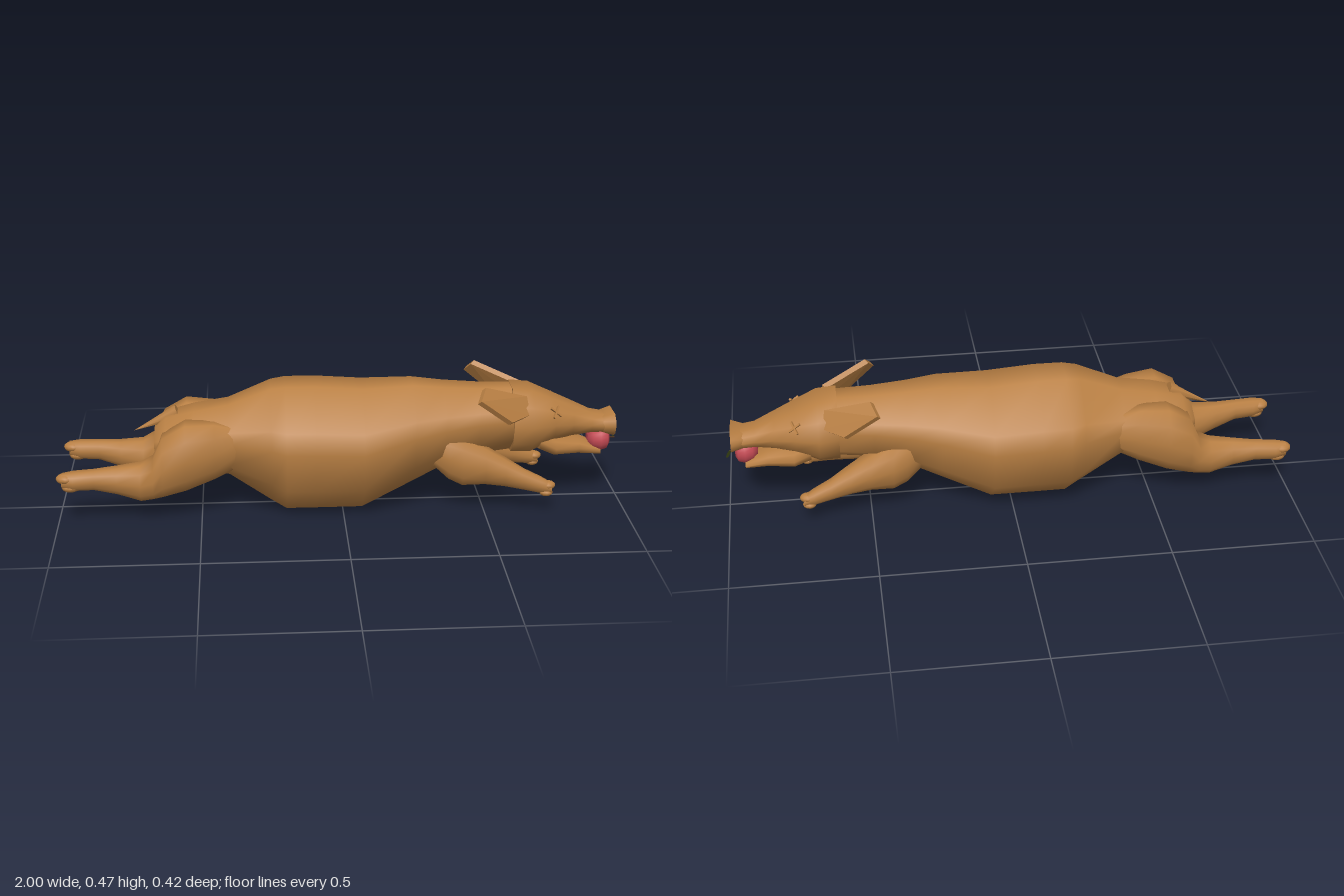
import * as THREE from 'three';
import { ConvexGeometry } from 'three/addons/geometries/ConvexGeometry.js';

const mat = (name, color, side = THREE.FrontSide) => {
  const m = new THREE.MeshStandardMaterial({ color, side });
  m.name = name;
  return m;
};

// Half outlines of a cross-section: [share of half width, share of height], top to bottom
const BARREL = [[0.3, 1], [0.96, 0.73], [1, 0.56], [0.96, 0.26], [0.3, 0]];
const ROUND = [[0.42, 1], [0.86, 0.8], [1, 0.5], [0.86, 0.2], [0.42, 0]];
const SNOUT = [[0.6, 1], [0.93, 0.78], [1, 0.5], [0.88, 0.2], [0.55, 0]];

// Skin through sections [x, bottom, top, half width, z centre], x ascending
function loft(sections, half) {
  const outline = [...half, ...half.map(([w, h]) => [-w, h]).reverse()];
  const n = outline.length, pos = [], idx = [];
  const ring = ([x, b, t, w, z = 0]) =>
    outline.forEach(([u, v]) => pos.push(x, b + (t - b) * v, z + w * u));
  sections.forEach(ring);
  for (let i = 0; i < sections.length - 1; i++) {
    for (let j = 0; j < n; j++) {
      const k = (j + 1) % n, a = i * n + j, b = i * n + k;
      idx.push(a, b, a + n, b, b + n, a + n);
    }
  }
  // End caps with their own corners, so their rims stay sharp
  [sections[0], sections[sections.length - 1]].forEach((s, end) => {
    const base = pos.length / 3;
    ring(s);
    for (let j = 1; j < n - 1; j++) {
      if (end) idx.push(base, base + j, base + j + 1);
      else idx.push(base, base + j + 1, base + j);
    }
  });
  const g = new THREE.BufferGeometry();
  g.setAttribute('position', new THREE.Float32BufferAttribute(pos, 3));
  g.setIndex(idx);
  g.computeVertexNormals();
  return g;
}

export function createModel() {
  const root = new THREE.Group();
  root.name = 'roastPig';
  const skin = mat('roastedSkin', 0xb87f43);
  const red = mat('appleRed', 0xc44a54);
  const green = mat('leafGreen', 0x45521a, THREE.DoubleSide);
  const brown = mat('stemBrown', 0x4a2f1a);

  const add = (name, geometry, material = skin, parent = root) => {
    const m = new THREE.Mesh(geometry, material);
    m.name = name;
    parent.add(m);
    return m;
  };
  const ball = (name, parent, x, y, z, rx, ry, rz) => {
    const m = add(name, new THREE.SphereGeometry(1, 12, 8), skin, parent);
    m.position.set(x, y, z);
    m.scale.set(rx, ry, rz);
    return m;
  };

  add('body', loft([
    [-0.66, 0.2, 0.3, 0.09], [-0.62, 0.17, 0.345, 0.14], [-0.52, 0.15, 0.37, 0.155],
    [-0.4, 0.13, 0.39, 0.145], [-0.25, 0.03, 0.45, 0.185], [-0.2, 0, 0.457, 0.205],
    [-0.1, 0, 0.457, 0.208], [0.07, 0, 0.445, 0.207], [0.25, 0.09, 0.45, 0.17],
    [0.36, 0.145, 0.438, 0.145], [0.48, 0.185, 0.43, 0.128], [0.61, 0.2, 0.428, 0.115],
  ], BARREL));

  // Head with a flared snout disc
  add('head', loft([
    [0.6, 0.195, 0.43, 0.125], [0.67, 0.195, 0.422, 0.132], [0.75, 0.23, 0.387, 0.108],
    [0.82, 0.243, 0.357, 0.08], [0.89, 0.25, 0.325, 0.06], [0.95, 0.25, 0.313, 0.06],
  ], ROUND));
  add('snout', loft([[0.93, 0.252, 0.313, 0.058], [0.973, 0.243, 0.325, 0.074]], SNOUT));
  for (const s of [1, -1]) {
    ball('nostril', root, 0.972, 0.287, s * 0.022, 0.003, 0.013, 0.008);
  }
  add('lowerJaw', loft([
    [0.7, 0.2, 0.29, 0.1], [0.76, 0.172, 0.25, 0.088],
    [0.85, 0.172, 0.228, 0.06], [0.93, 0.165, 0.195, 0.042],
  ], ROUND));

  // Tail
  const tail = new THREE.ConeGeometry(0.028, 0.17, 8);
  tail.rotateZ(Math.PI / 2 + 0.4);
  add('tail', tail).position.set(-0.655, 0.32, 0);

  for (const s of [1, -1]) {
    const side = s > 0 ? 'left' : 'right';

    // Ear: a thick, pointed slab swept backwards
    const face = [
      [0.49, 0.472, 0.15], [0.47, 0.437, 0.193], [0.585, 0.347, 0.165],
      [0.655, 0.355, 0.115], [0.645, 0.415, 0.088],
    ].map(([x, y, z]) => new THREE.Vector3(x, y, z * s));
    const back = face.map((p) => p.clone().add(new THREE.Vector3(-0.012, -0.012, -0.008 * s)));
    add(side + 'Ear', new ConvexGeometry([...face, ...back]));

    // Crossed-out eye
    const eye = new THREE.Group();
    eye.name = side + 'Eye';
    eye.position.set(0.751, 0.355, s * 0.094);
    eye.lookAt(1.25, 0.85, s * 0.85);
    root.add(eye);
    for (const r of [1, -1]) {
      add('eyeCross', new THREE.BoxGeometry(0.05, 0.007, 0.008), skin, eye).rotation.z = r * 0.8;
    }

    // Hind leg stretched backwards
    const hind = new THREE.Group();
    hind.name = side + 'HindLeg';
    root.add(hind);
    add('hindLimb', loft([
      [-0.98, 0.14, 0.19, 0.022, 0.153 * s], [-0.94, 0.13, 0.195, 0.033, 0.15 * s],
      [-0.87, 0.128, 0.197, 0.032, 0.142 * s], [-0.79, 0.105, 0.2, 0.041, 0.127 * s],
      [-0.71, 0.076, 0.207, 0.054, 0.118 * s], [-0.665, 0.086, 0.23, 0.066, 0.122 * s],
      [-0.63, 0.095, 0.31, 0.075, 0.122 * s], [-0.55, 0.117, 0.355, 0.081, 0.12 * s],
      [-0.45, 0.15, 0.35, 0.065, 0.107 * s], [-0.34, 0.2, 0.32, 0.04, 0.1 * s],
    ], ROUND), skin, hind);
    ball('upperToe', hind, -0.965, 0.172, 0.152 * s, 0.035, 0.019, 0.03);
    ball('lowerToe', hind, -0.95, 0.14, 0.152 * s, 0.032, 0.018, 0.026);

    // Front leg stretched forwards
    const front = new THREE.Group();
    front.name = side + 'FrontLeg';
    root.add(front);
    add('frontLimb', loft([
      [0.32, 0.17, 0.28, 0.03, 0.1 * s], [0.37, 0.125, 0.29, 0.055, 0.1 * s],
      [0.42, 0.1, 0.275, 0.061, 0.1 * s], [0.5, 0.102, 0.235, 0.056, 0.104 * s],
      [0.57, 0.095, 0.195, 0.045, 0.115 * s], [0.64, 0.083, 0.155, 0.031, 0.13 * s],
      [0.7, 0.072, 0.128, 0.025, 0.141 * s], [0.735, 0.07, 0.108, 0.018, 0.146 * s],
    ], ROUND), skin, front);
    ball('upperToe', front, 0.722, 0.1, 0.143 * s, 0.028, 0.016, 0.023);
    ball('lowerToe', front, 0.717, 0.074, 0.146 * s, 0.024, 0.014, 0.022);
  }

  // Apple with a dimple round the stem, facing forwards
  const apple = new THREE.Group();
  apple.name = 'apple';
  apple.position.set(0.922, 0.222, 0.005);
  apple.rotation.z = -Math.PI / 2;
  root.add(apple);
  const profile = [[0, -0.034], [0.02, -0.038], [0.038, -0.02], [0.047, 0.006], [0.04, 0.031],
    [0.022, 0.041], [0.008, 0.036], [0, 0.03]].map(([r, y]) => new THREE.Vector2(r, y));
  add('appleFlesh', new THREE.LatheGeometry(profile, 20), red, apple);
  add('stem', new THREE.CylinderGeometry(0.003, 0.002, 0.035, 6), brown, apple).position.y = 0.045;

  // Leaf
  const leaf = new THREE.Shape();
  leaf.moveTo(0, 0);
  leaf.quadraticCurveTo(0.02, 0.02, 0.044, 0);
  leaf.quadraticCurveTo(0.02, -0.02, 0, 0);
  const leafMesh = add('leaf', new THREE.ShapeGeometry(leaf, 6), green);
  leafMesh.position.set(0.978, 0.224, 0);
  leafMesh.rotation.y = Math.PI / 2 - 0.4;
  return root;
}
